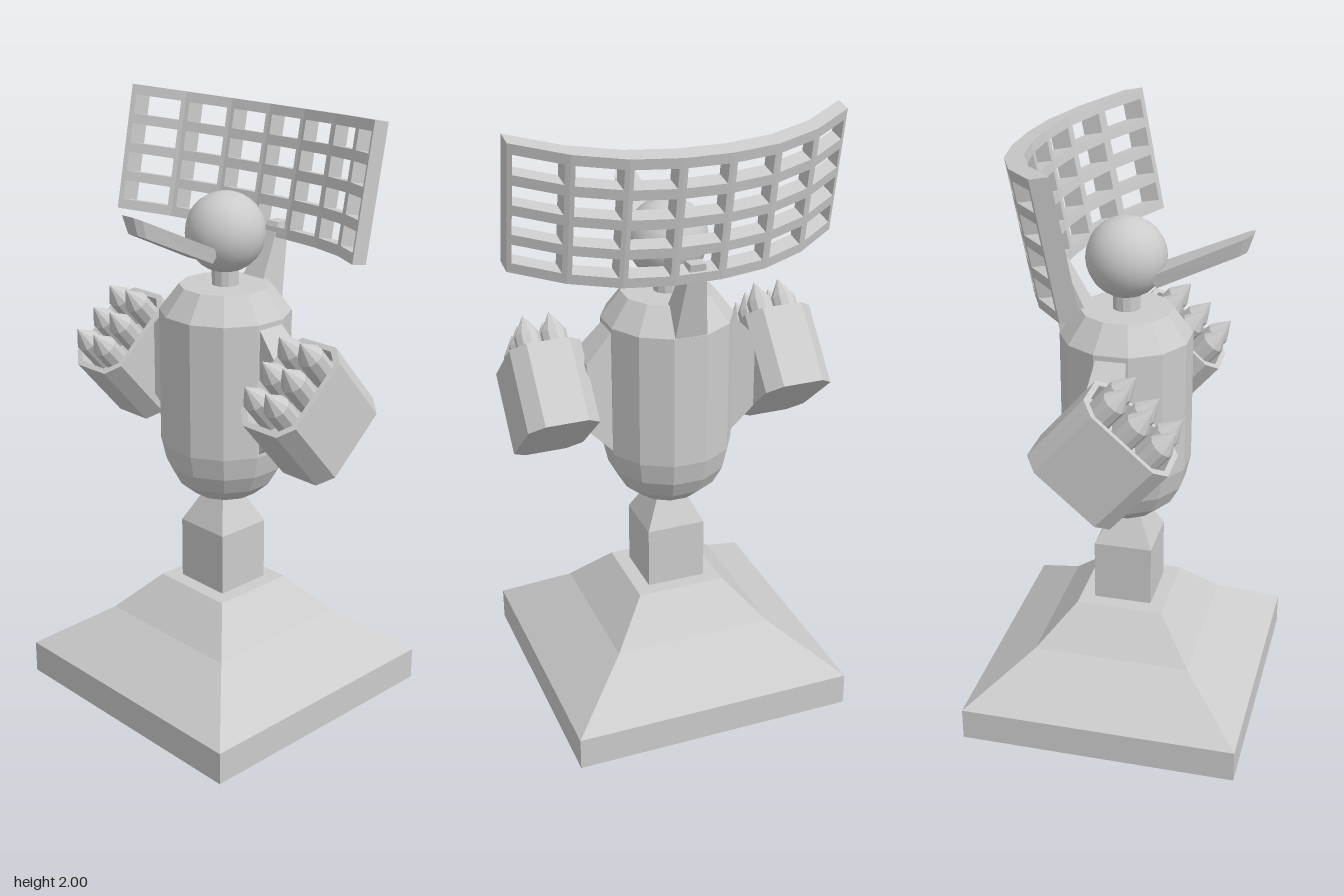
import * as THREE from 'three';

const flat = new THREE.MeshStandardMaterial({ color: 0xcccccc, flatShading: true });
const smooth = new THREE.MeshStandardMaterial({ color: 0xcccccc });

function add(parent, name, geometry, material = flat) {
  const mesh = new THREE.Mesh(geometry, material);
  mesh.name = name;
  parent.add(mesh);
  return mesh;
}

const points = list => list.map(([x, y]) => new THREE.Vector2(x, y));
const extrude = (shape, depth) => new THREE.ExtrudeGeometry(shape, { depth, bevelEnabled: false });

// Applies a rule to every vertex
function reshape(geometry, rule) {
  const p = geometry.attributes.position;
  const v = new THREE.Vector3();
  for (let i = 0; i < p.count; i++) {
    rule(v.fromBufferAttribute(p, i));
    p.setXYZ(i, v.x, v.y, v.z);
  }
  geometry.computeVertexNormals();
  return geometry;
}

// Rectangle with cut corners
function cutRect(w, h, c) {
  return points([
    [-w + c, -h], [w - c, -h], [w, -h + c], [w, h - c],
    [w - c, h], [-w + c, h], [-w, h - c], [-w, -h + c]
  ]);
}

// Curved lattice panel: seven sheared segments, each with four windows
function addPanel(group) {
  const panel = new THREE.Group();
  panel.name = 'latticePanel';
  const step = 0.153, height = 0.418, bar = 0.033, thickness = 0.062;
  const depths = [0, -0.11, -0.175, -0.2, -0.2, -0.175, -0.11, 0];
  const rowHeight = (height - bar) / 4;
  for (let i = 0; i < 7; i++) {
    const x0 = (i - 3.5) * step;
    const shape = new THREE.Shape(points([[x0, 0], [x0 + step, 0], [x0 + step, height], [x0, height]]));
    for (let row = 0; row < 4; row++) {
      const l = x0 + 0.013, r = x0 + step - 0.013;
      const b = bar + row * rowHeight, t = (row + 1) * rowHeight;
      shape.holes.push(new THREE.Path(points([[l, b], [l, t], [r, t], [r, b]])));
    }
    const geometry = reshape(extrude(shape, thickness), v => {
      v.z += THREE.MathUtils.lerp(depths[i], depths[i + 1], (v.x - x0) / step) - thickness;
    });
    add(panel, 'panelSegment', geometry);
  }
  panel.position.set(0, 1.592, -0.01);
  panel.rotation.x = -0.19;
  group.add(panel);
}

// Tilted launcher pod with six pointed rockets
function addPod(group, side) {
  const pod = new THREE.Group();
  pod.name = side > 0 ? 'leftPod' : 'rightPod';
  const half = 0.137, recess = 0.06;
  add(pod, 'podBlock', extrude(new THREE.Shape(cutRect(0.117, 0.17, 0.047)), 2 * half - recess)).position.z = -half;
  const rim = new THREE.Shape(cutRect(0.117, 0.17, 0.047));
  rim.holes.push(new THREE.Path(cutRect(0.099, 0.152, 0.039).reverse()));
  add(pod, 'podRim', extrude(rim, recess)).position.z = half - recess;

  const rocket = new THREE.LatheGeometry(points([[0.042, 0.05], [0.042, 0.185], [0, 0.253]]), 10);
  rocket.rotateX(Math.PI / 2);
  for (const x of [-0.043, 0.043])
    for (const y of [-0.095, 0, 0.095]) add(pod, 'rocket', rocket).position.set(x, y, 0);

  pod.position.set(side * 0.402, 1.105, 0.015);
  pod.rotation.x = -0.855;
  group.add(pod);

  // Tapered bracket joining the pod to the body
  const bracket = reshape(new THREE.BoxGeometry(0.15, 2, 2), v => {
    const outer = v.x * side > 0;
    v.y *= outer ? 0.115 : 0.275;
    v.z *= outer ? 0.062 : 0.04;
  });
  add(group, side > 0 ? 'leftBracket' : 'rightBracket', bracket).position.set(side * 0.22, 1.12, -0.01);
}

export function createModel() {
  const group = new THREE.Group();

  // Square stepped base and post
  const base = new THREE.LatheGeometry(points([
    [0, 0], [0.475, 0], [0.475, 0.11], [0.27, 0.26], [0.15, 0.39],
    [0.1, 0.39], [0.1, 0.6], [0.035, 0.73], [0, 0.73]
  ]), 4);
  base.rotateY(Math.PI / 4).scale(Math.SQRT2, 1, Math.SQRT2 * 0.98);
  add(group, 'baseAndPost', base);

  // Twelve-sided body with rounded underside, and neck
  const body = new THREE.LatheGeometry(points([
    [0, 0.695], [0.06, 0.7], [0.11, 0.718], [0.165, 0.765], [0.198, 0.825], [0.215, 0.9],
    [0.215, 1.345], [0.15, 1.43], [0, 1.43]
  ]), 12, Math.PI / 12);
  add(group, 'body', body).position.z = -0.01;
  add(group, 'neck', new THREE.CylinderGeometry(0.045, 0.045, 0.12, 12)).position.set(0, 1.46, -0.01);

  // Round head with an upturned beak
  add(group, 'head', new THREE.SphereGeometry(0.13, 20, 14), smooth).position.set(0, 1.6, -0.01);
  const beakShape = new THREE.Shape(points([
    [-0.068, 0], [0.068, 0], [0.04, 0.315], [0.026, 0.342], [-0.026, 0.342], [-0.04, 0.315]
  ]));
  const beak = add(group, 'beak', reshape(extrude(beakShape, 0.045), v => {
    if (v.z > 0.02) {
      v.x *= 0.85;
      v.y *= 0.88;
    }
  }));
  beak.position.set(0, 1.565, 0.08);
  beak.rotation.x = THREE.MathUtils.degToRad(65);

  // Tapered strut from the back of the body to the panel
  const strutShape = new THREE.Shape(points([[-0.1, 1.36], [-0.214, 1.33], [-0.27, 1.6], [-0.225, 1.6]]));
  const strut = extrude(strutShape, 0.1);
  strut.translate(0, 0, -0.05).rotateY(-Math.PI / 2);
  add(group, 'panelStrut', reshape(strut, v => {
    v.x *= v.y > 1.5 ? 0.5 : 1.1;
  }));

  addPanel(group);
  for (const side of [1, -1]) addPod(group, side);
  return group;
}
